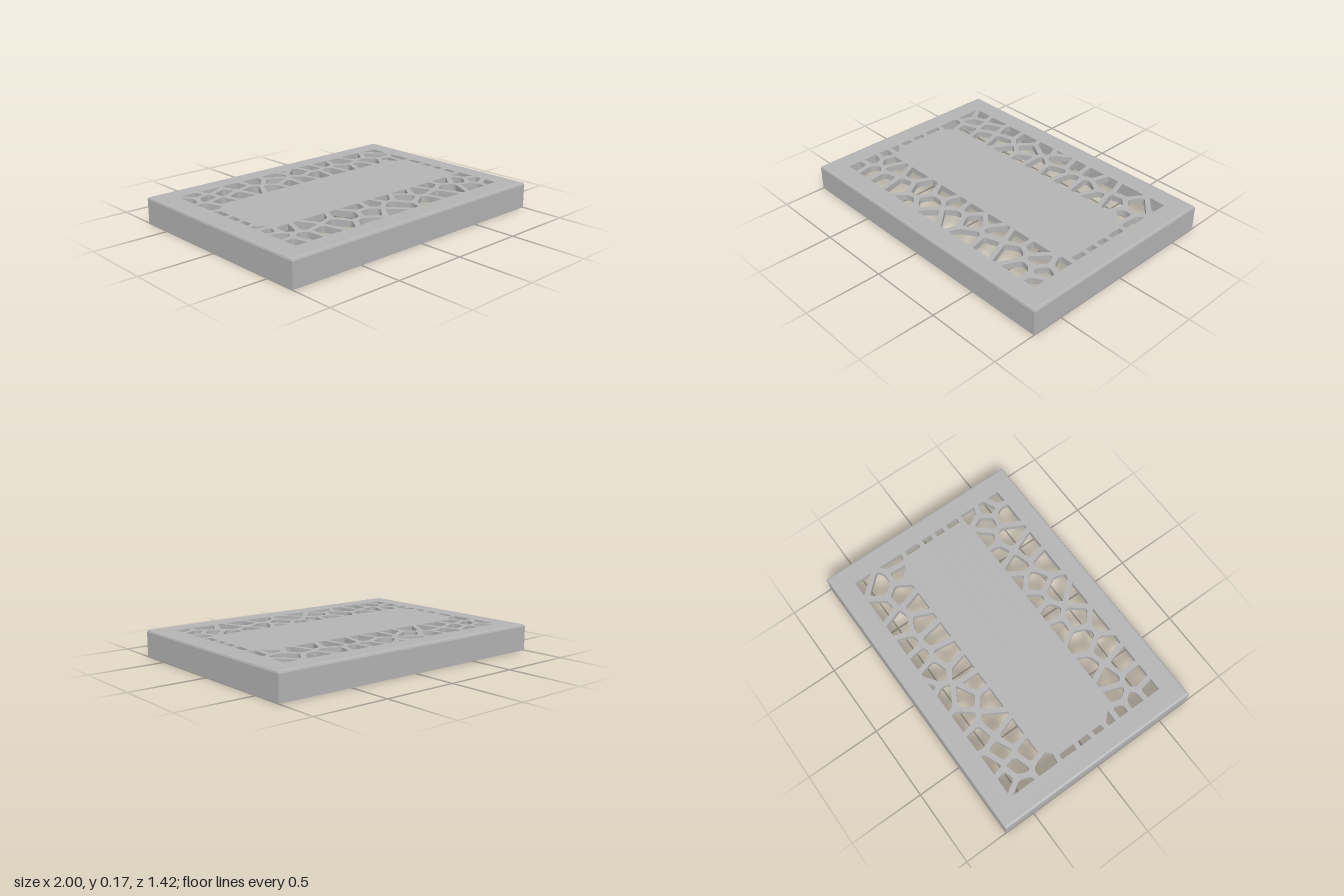
import * as THREE from 'three';

const HX = 1, HZ = 0.71, TOP = 0.175, WALL = 0.015, SKIN = 0.015, PLATE = 0.04;
const RIB = 0.017; // half the width of a web strand

// Cell centres of the web, as x, z pairs
const backSeeds = [
  -0.85, -0.48, -0.77, -0.53, -0.64, -0.56, -0.60, -0.46, -0.45, -0.51, -0.31, -0.53, -0.20, -0.44,
  -0.13, -0.56, -0.02, -0.62, 0.07, -0.50, 0.18, -0.53, 0.30, -0.55, 0.45, -0.50, 0.60, -0.55,
  0.75, -0.45, 0.85, -0.54, -0.74, -0.44, -0.70, -0.32, -0.55, -0.35, -0.42, -0.39, -0.30, -0.32,
  -0.14, -0.33, -0.04, -0.33, 0.12, -0.37, 0.25, -0.35, 0.38, -0.37, 0.50, -0.32, 0.63, -0.36,
  0.74, -0.29, 0.86, -0.28, -0.83, -0.28,
];
const frontSeeds = [
  -0.83, 0.29, -0.84, 0.40, -0.83, 0.53, -0.73, 0.32, -0.62, 0.36, -0.72, 0.51, -0.58, 0.50,
  -0.50, 0.30, -0.45, 0.47, -0.32, 0.39, -0.28, 0.58, -0.17, 0.30, -0.17, 0.46, -0.06, 0.55,
  -0.05, 0.33, 0.04, 0.46, 0.07, 0.30, 0.17, 0.38, 0.27, 0.54, 0.25, 0.29, 0.35, 0.35,
  0.40, 0.51, 0.55, 0.45, 0.47, 0.30, 0.63, 0.30, 0.69, 0.52, 0.72, 0.38, 0.80, 0.44,
  0.85, 0.32, 0.85, 0.54,
];
const sideSeeds = [
  -0.85, -0.12, -0.86, 0.0, -0.85, 0.11, -0.83, 0.20, 0.85, -0.12, 0.85, -0.01, 0.85, 0.08, 0.85, 0.18,
];

// Keep the part of a convex polygon where n.p <= d
function clip(poly, nx, ny, d) {
  const out = [];
  poly.forEach((p, i) => {
    const q = poly[(i + 1) % poly.length];
    const a = p[0] * nx + p[1] * ny - d, b = q[0] * nx + q[1] * ny - d;
    if (a <= 0) out.push(p);
    if (a * b < 0) {
      const t = a / (a - b);
      out.push([p[0] + (q[0] - p[0]) * t, p[1] + (q[1] - p[1]) * t]);
    }
  });
  return out;
}

// Soften the corners of a convex polygon
function roundCorners(poly, r) {
  const n = poly.length, out = [];
  const toward = (p, q) => {
    const len = Math.hypot(q[0] - p[0], q[1] - p[1]) || 1;
    const t = Math.min(r / len, 0.45);
    return [p[0] + (q[0] - p[0]) * t, p[1] + (q[1] - p[1]) * t];
  };
  poly.forEach((p, i) => {
    const a = toward(p, poly[(i + n - 1) % n]), b = toward(p, poly[(i + 1) % n]);
    for (const t of [0, 0.33, 0.67, 1]) {
      const u = (1 - t) * (1 - t), v = 2 * t * (1 - t), w = t * t;
      out.push([u * a[0] + v * p[0] + w * b[0], u * a[1] + v * p[1] + w * b[1]]);
    }
  });
  return out;
}

const area = (poly) => Math.abs(poly.reduce((s, p, i) => {
  const q = poly[(i + 1) % poly.length];
  return s + p[0] * q[1] - q[0] * p[1];
}, 0)) / 2;

// Sides of the solid centre panel: rectangle with cut corners
const S = Math.SQRT1_2;
const panelSides = [[1, 0, 0.825], [-1, 0, 0.825], [0, 1, 0.277], [0, -1, 0.277]];
for (const sx of [-1, 1]) for (const sz of [-1, 1]) panelSides.push([sx * S, sz * S, 1.01 * S]);

const rect = (x, z) => [[-x, -z], [x, -z], [x, z], [-x, z]];

// Openings of the web around the panel
function webCells() {
  const flat = [...backSeeds, ...frontSeeds, ...sideSeeds], seeds = [];
  for (let i = 0; i < flat.length; i += 2) seeds.push([flat[i], flat[i + 1]]);
  const cells = [];
  for (const s of seeds) {
    let poly = rect(1.0, 0.7);
    for (const o of seeds) {
      if (o === s) continue;
      const dx = o[0] - s[0], dz = o[1] - s[1], len = Math.hypot(dx, dz);
      const nx = dx / len, nz = dz / len;
      poly = clip(poly, nx, nz, s[0] * nx + s[1] * nz + len / 2 - RIB);
    }
    if (poly.length < 3) continue;
    poly = roundCorners(poly, 0.022);
    for (const [nx, nz, d] of [[1, 0, 0.863], [-1, 0, 0.863], [0, 1, 0.575], [0, -1, 0.575]]) {
      poly = clip(poly, nx, nz, d);
    }
    const outside = ([nx, nz, d]) => s[0] * nx + s[1] * nz - d;
    const [nx, nz, d] = panelSides.reduce((a, b) => (outside(b) > outside(a) ? b : a));
    poly = clip(poly, -nx, -nz, -d - 0.0005);
    if (poly.length > 2 && area(poly) > 0.0002) cells.push(poly);
  }
  return cells;
}

// Honeycomb pockets under the panel
function hexCells() {
  const pitch = 0.125, r = 0.055, cells = [];
  for (let row = -2; row <= 2; row++) {
    for (let col = -7; col <= 7; col++) {
      const cx = (col + (row % 2 ? 0.5 : 0)) * pitch, cz = row * pitch * Math.sqrt(3) / 2;
      const hex = [];
      for (let k = 0; k < 6; k++) {
        const a = Math.PI / 6 + k * Math.PI / 3;
        hex.push([cx + r * Math.cos(a), cz + r * Math.sin(a)]);
      }
      if (hex.every(([x, z]) => panelSides.every(([nx, nz, d]) => x * nx + z * nz < d - 0.004))) {
        cells.push(hex);
      }
    }
  }
  return cells;
}

// Flat sheet with openings, its upper face at y = top
function sheet(holes, top, depth) {
  const points = (poly) => poly.map(([x, z]) => new THREE.Vector2(x, z));
  const shape = new THREE.Shape(points(rect(HX - WALL, HZ - WALL)));
  shape.holes = holes.map((h) => new THREE.Path(points(h)));
  const geo = new THREE.ExtrudeGeometry(shape, { depth, bevelEnabled: false });
  return geo.rotateX(Math.PI / 2).translate(0, top, 0);
}

// Mitred wall: a profile of [inset, y] swept around the rectangle
function skirt(profile) {
  const corner = (i, j) => {
    const [sx, sz] = [[1, 1], [1, -1], [-1, -1], [-1, 1]][j % 4];
    return [sx * (HX - profile[i][0]), profile[i][1], sz * (HZ - profile[i][0])];
  };
  const pos = [];
  for (let i = 0; i < profile.length - 1; i++) {
    for (let j = 0; j < 4; j++) {
      const a = corner(i, j), b = corner(i, j + 1), c = corner(i + 1, j + 1), d = corner(i + 1, j);
      pos.push(...a, ...b, ...c, ...a, ...c, ...d);
    }
  }
  const geo = new THREE.BufferGeometry();
  geo.setAttribute('position', new THREE.Float32BufferAttribute(pos, 3));
  geo.computeVertexNormals();
  return geo;
}

export function createModel() {
  const group = new THREE.Group();
  const grey = new THREE.MeshStandardMaterial({ color: 0xb3b3b3 });
  grey.name = 'grey plastic';
  const add = (name, geo) => {
    const mesh = new THREE.Mesh(geo, grey);
    mesh.name = name;
    group.add(mesh);
    return mesh;
  };

  // Side walls with a softened upper edge
  add('sideWalls', skirt([
    [WALL, TOP - PLATE], [WALL, 0], [0, 0], [0, TOP - 0.015],
    [0.0045, TOP - 0.0045], [WALL, TOP],
  ]));

  // Top skin, and the layer below it that also holds the honeycomb
  const web = webCells();
  add('topSkin', sheet(web, TOP, SKIN));
  add('honeycombLayer', sheet([...web, ...hexCells()], TOP - SKIN, PLATE - SKIN));

  // Small snap bumps inside the long walls
  for (const x of [-0.65, 0.65]) {
    for (const z of [-1, 1]) {
      const bump = add('snapBump', new THREE.SphereGeometry(0.014, 16, 10));
      bump.position.set(x, 0.08, z * (HZ - WALL));
      bump.scale.z = 0.8;
    }
  }
  return group;
}
